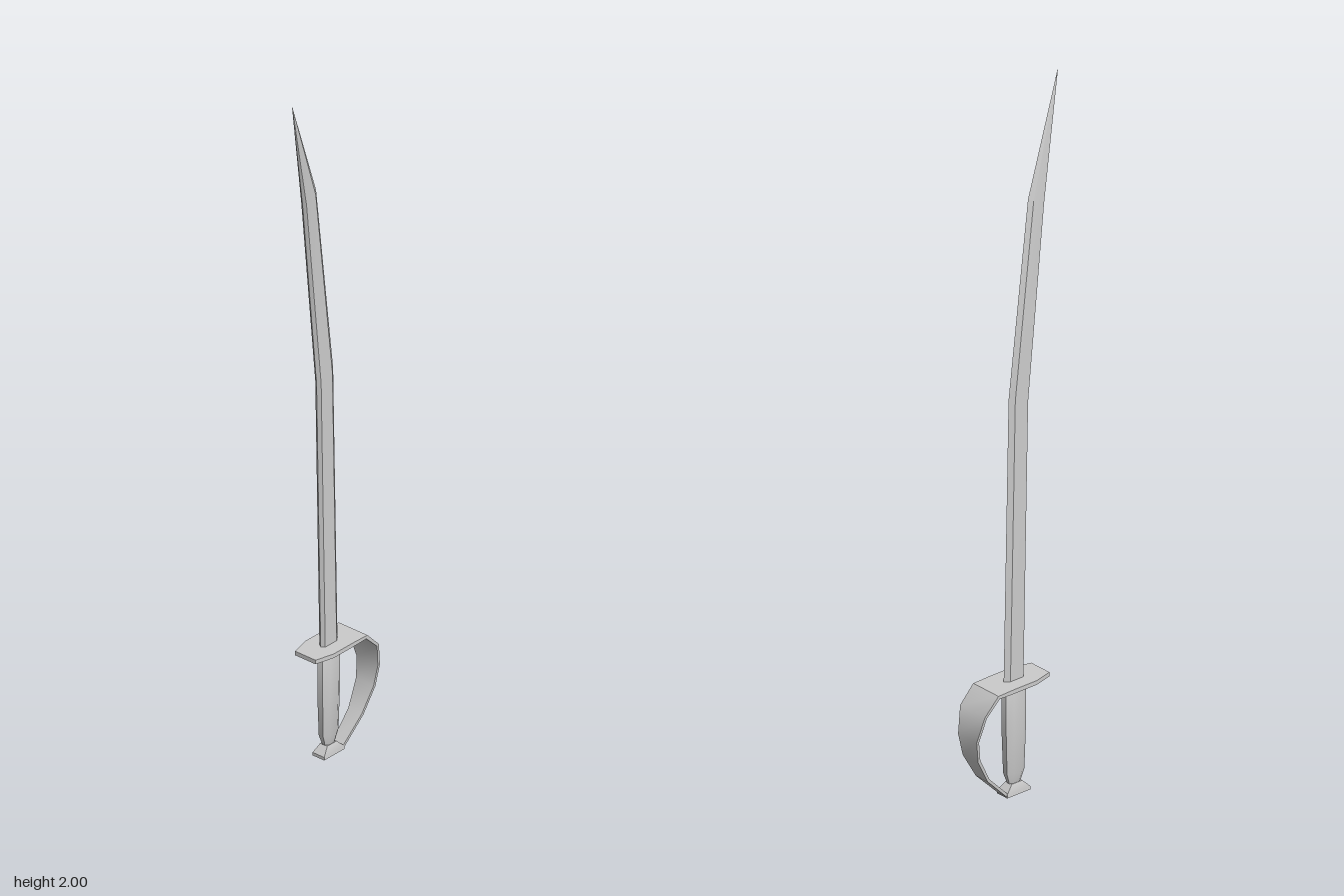
import * as THREE from 'three';
import { toCreasedNormals } from 'three/addons/utils/BufferGeometryUtils.js';

// Skin a closed solid through rings of [x, y, z] points, capped at both ends
function loft(rings) {
  const n = rings[0].length, last = (rings.length - 1) * n, index = [];
  for (let i = 0; i < rings.length - 1; i++) {
    for (let j = 0; j < n; j++) {
      const a = i * n + j, b = i * n + (j + 1) % n;
      index.push(a, b, b + n, a, b + n, a + n);
    }
  }
  for (let j = 1; j < n - 1; j++) {
    index.push(0, j + 1, j, last, last + j, last + j + 1);
  }
  const g = new THREE.BufferGeometry();
  g.setAttribute('position', new THREE.Float32BufferAttribute(rings.flat(2), 3));
  g.setIndex(index);
  return toCreasedNormals(g, 0.6);
}

// Blade section: six-sided, with a sharp cutting edge and a bevelled front
function bladeRing([yFront, zFront, yBack, zBack, half, x = 0]) {
  const at = (dx, t) => [
    x + dx * half,
    yFront + (yBack - yFront) * t,
    zFront + (zBack - zFront) * t,
  ];
  return [at(1, 0.1), at(1, 0.78), at(0, 1), at(-1, 0.78), at(-1, 0.1), at(0, 0)];
}

// Grip section: elongated octagon
function gripRing([y, zFront, zBack, half]) {
  const mid = (zFront + zBack) / 2, d = (zFront - zBack) / 2;
  return [[1, 0.45], [1, -0.45], [0.45, -1], [-0.45, -1], [-1, -0.45], [-1, 0.45], [-0.45, 1], [0.45, 1]]
    .map(([x, z]) => [x * half, y, mid + z * d]);
}

function boxRing([y, zFront, zBack, half]) {
  return [[half, y, zFront], [half, y, zBack], [-half, y, zBack], [-half, y, zFront]];
}

// Strap of varying width that follows a path of [y, z, halfWidth, halfThickness]
function strap(path) {
  return loft(path.map(([y, z, w, h], i) => {
    const p = path[Math.max(i - 1, 0)], q = path[Math.min(i + 1, path.length - 1)];
    const len = Math.hypot(q[0] - p[0], q[1] - p[1]);
    const ny = -(q[1] - p[1]) / len * h, nz = (q[0] - p[0]) / len * h;
    return [
      [-w, y + ny, z + nz], [w, y + ny, z + nz],
      [w, y - ny, z - nz], [-w, y - ny, z - nz],
    ];
  }));
}

export function createModel() {
  const group = new THREE.Group();
  const material = new THREE.MeshStandardMaterial({ color: 0xcccccc });
  const add = (name, geometry) => {
    const mesh = new THREE.Mesh(geometry, material);
    mesh.name = name;
    group.add(mesh);
  };

  // Curved blade, its point bent slightly to one side
  add('blade', loft([
    [0.31, 0.018, 0.31, -0.047, 0.01],
    [1.11, 0.034, 1.13, -0.03, 0.01],
    [1.66, 0.088, 1.685, 0.036, 0.009],
    [2.0, 0.168, 2.0, 0.167, 0.0005, 0.035],
  ].map(bladeRing)));

  // Grip, narrowed at both ends
  add('grip', loft([
    [0.025, 0.005, -0.03, 0.01],
    [0.06, 0.017, -0.042, 0.017],
    [0.18, 0.021, -0.046, 0.02],
    [0.3, 0.021, -0.047, 0.02],
    [0.32, 0.012, -0.038, 0.016],
  ].map(gripRing)));

  // Flared pommel
  add('pommel', loft([
    [0, 0.027, -0.052, 0.02],
    [0.009, 0.027, -0.052, 0.02],
    [0.03, 0.006, -0.03, 0.012],
  ].map(boxRing)));

  // Crossguard running into the knuckle bow
  add('guard', strap([
    [0.319, 0.078, 0.035, 0.006],
    [0.319, 0.024, 0.049, 0.006],
    [0.319, -0.055, 0.049, 0.006],
    [0.319, -0.105, 0.049, 0.005],
    [0.275, -0.149, 0.048, 0.004],
    [0.205, -0.166, 0.036, 0.004],
    [0.145, -0.156, 0.03, 0.004],
    [0.075, -0.118, 0.023, 0.004],
    [0.007, -0.05, 0.018, 0.004],
  ]));

  return group;
}
